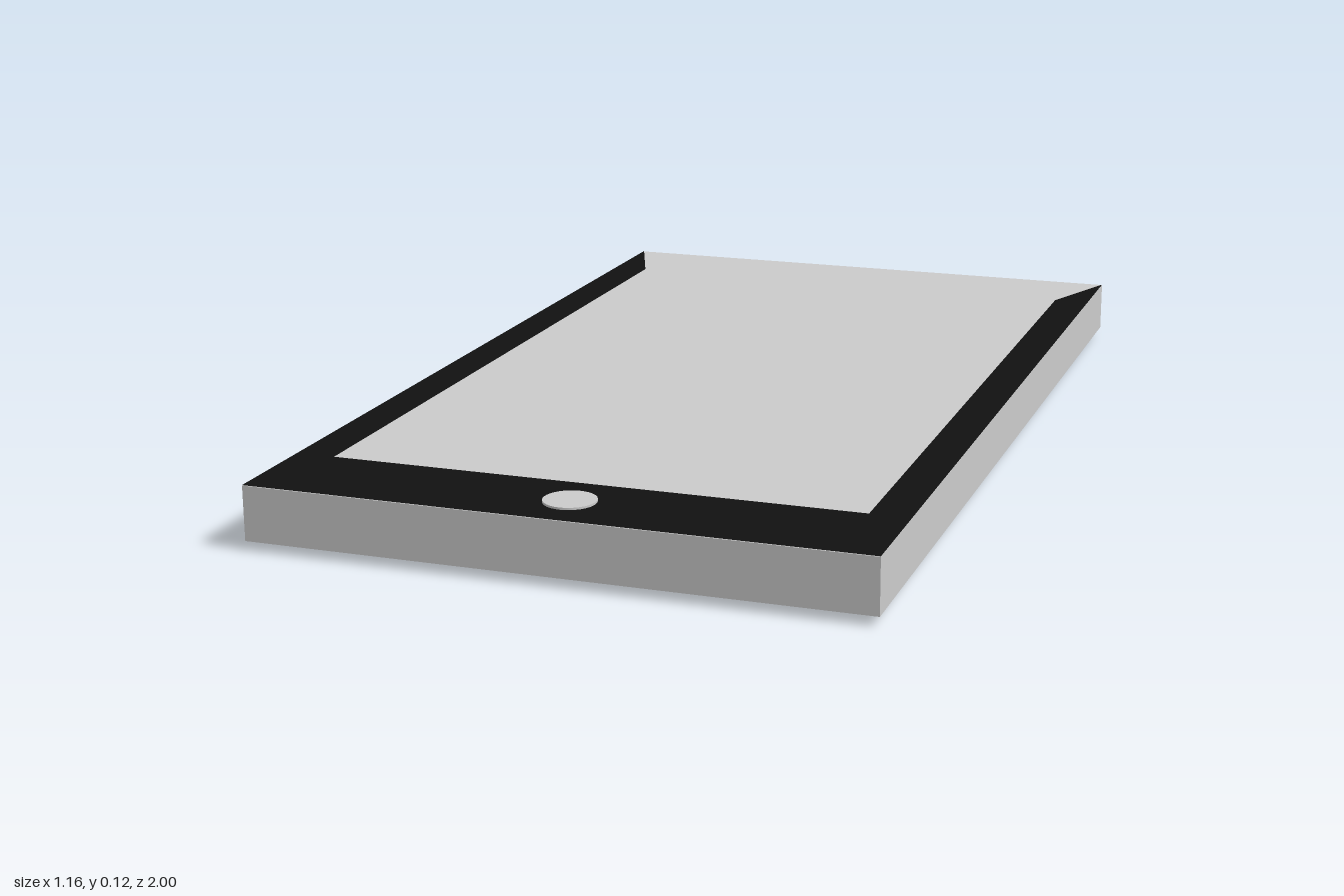
import * as THREE from 'three';

const GREY = 0xcccccc, BLACK = 0x111111;
const BOTTOM = 0.017, TOP = 0.12, HALF_W = 0.58;

function addPart(group, name, geometry, color, x = 0, y = 0, z = 0) {
  const mesh = new THREE.Mesh(geometry, new THREE.MeshStandardMaterial({ color }));
  mesh.name = name;
  mesh.position.set(x, y, z);
  group.add(mesh);
  return mesh;
}

// Upright disc spanning y0..y1
function addDisc(group, name, color, radius, x, y0, y1, z) {
  const geometry = new THREE.CylinderGeometry(radius, radius, y1 - y0, 32);
  return addPart(group, name, geometry, color, x, (y0 + y1) / 2, z);
}

export function createModel() {
  const phone = new THREE.Group();
  phone.name = 'phone';

  // Slab body, whose top face is also the screen
  addPart(phone, 'body', new THREE.BoxGeometry(2 * HALF_W, TOP - BOTTOM, 2), GREY, 0, (TOP + BOTTOM) / 2, 0);

  // U-shaped bezel, its two arms tapering to the rear corners (shape y is -z)
  const inner = 0.505;
  const outline = [
    [-HALF_W, -1], [HALF_W, -1], [HALF_W, 1], [inner, 0.81],
    [inner, -0.8], [-inner, -0.8], [-inner, 0.81], [-HALF_W, 1],
  ].map(([x, y]) => new THREE.Vector2(x, y));
  const bezel = new THREE.ShapeGeometry(new THREE.Shape(outline)).rotateX(-Math.PI / 2);
  addPart(phone, 'screenBezel', bezel, BLACK, 0, TOP + 0.001, 0);

  // Home button
  addDisc(phone, 'homeButton', GREY, 0.048, 0, TOP, 0.125, 0.9);

  // Pill-shaped camera plate under the back
  const camera = new THREE.Group();
  camera.name = 'rearCamera';
  camera.position.set(0.236, 0, -0.67);
  phone.add(camera);
  const r = 0.042, half = 0.098 - r;
  const pill = new THREE.Shape();
  pill.absarc(half, 0, r, -Math.PI / 2, Math.PI / 2);
  pill.absarc(-half, 0, r, Math.PI / 2, Math.PI * 1.5);
  const plate = new THREE.ExtrudeGeometry(pill, { depth: 0.007, bevelEnabled: false, curveSegments: 16 });
  addPart(camera, 'cameraPlate', plate.rotateX(-Math.PI / 2), BLACK, 0, 0.01, 0);

  // Flash and lens
  addDisc(camera, 'flash', GREY, 0.019, -0.036, 0.003, 0.01, 0);
  addDisc(camera, 'lens', BLACK, 0.019, 0.048, 0, 0.01, 0);

  return phone;
}
